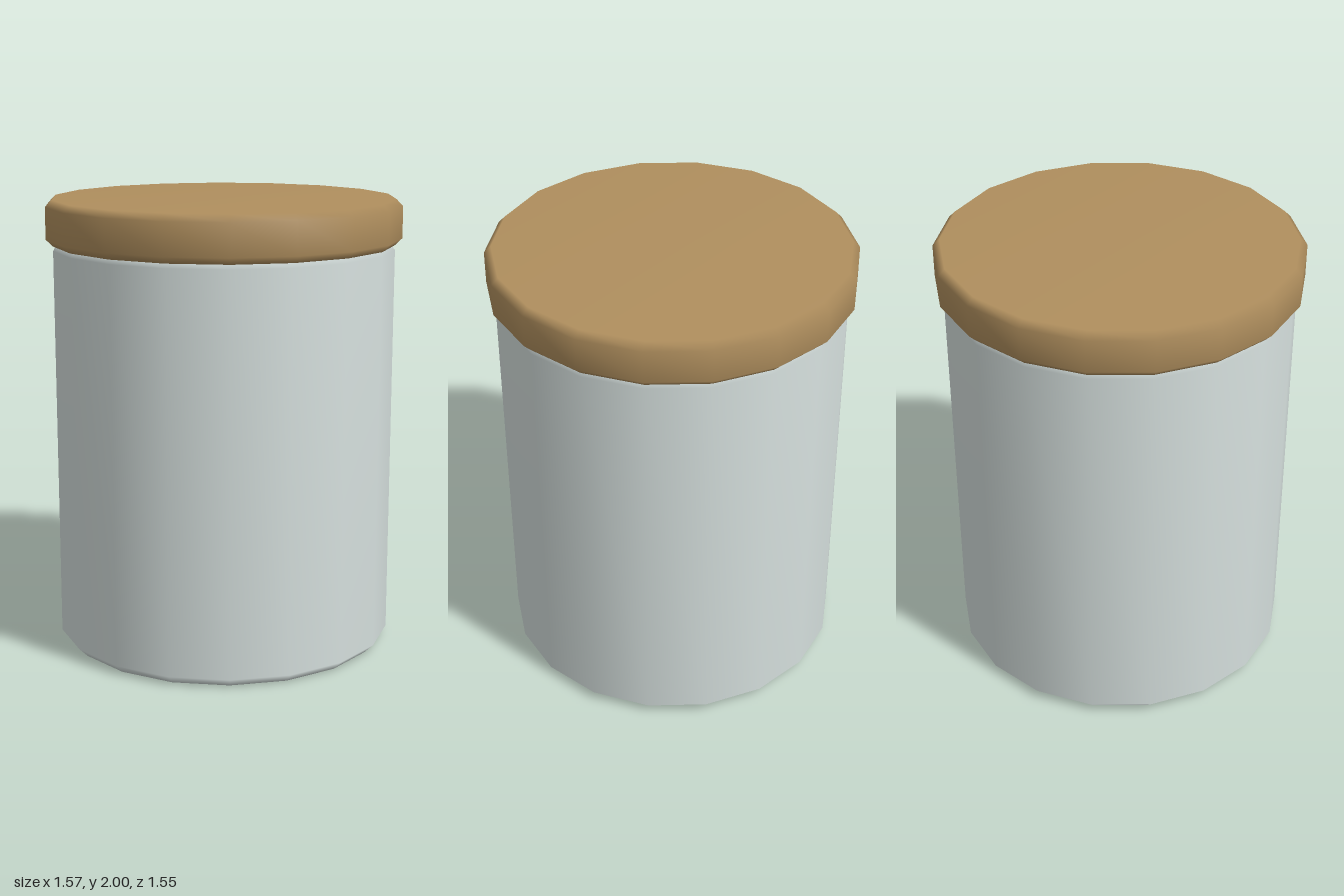
import * as THREE from 'three';

const SIDES = 18;

// Closed, bevelled drum turned from a profile, with a corner on the x axis
function drum(name, radius, bottom, top, bevel, material) {
  const profile = [
    [0, bottom],
    [radius - bevel, bottom],
    [radius, bottom + bevel],
    [radius, top - bevel],
    [radius - bevel, top],
    [0, top],
  ].map(([r, y]) => new THREE.Vector2(r, y));
  const mesh = new THREE.Mesh(
    new THREE.LatheGeometry(profile, SIDES, Math.PI / 2),
    material
  );
  mesh.name = name;
  return mesh;
}

export function createModel() {
  const glass = new THREE.MeshStandardMaterial({ color: 0xd6e0de });
  glass.name = 'pale glass';
  const wood = new THREE.MeshStandardMaterial({ color: 0xb08f5e });
  wood.name = 'light wood';

  const model = new THREE.Group();
  model.name = 'storageJar';
  // The jar's upper bevel tucks into the lid
  model.add(drum('jarBody', 0.756, 0, 1.82, 0.04, glass));
  model.add(drum('lid', 0.787, 1.8, 2, 0.03, wood));
  return model;
}
